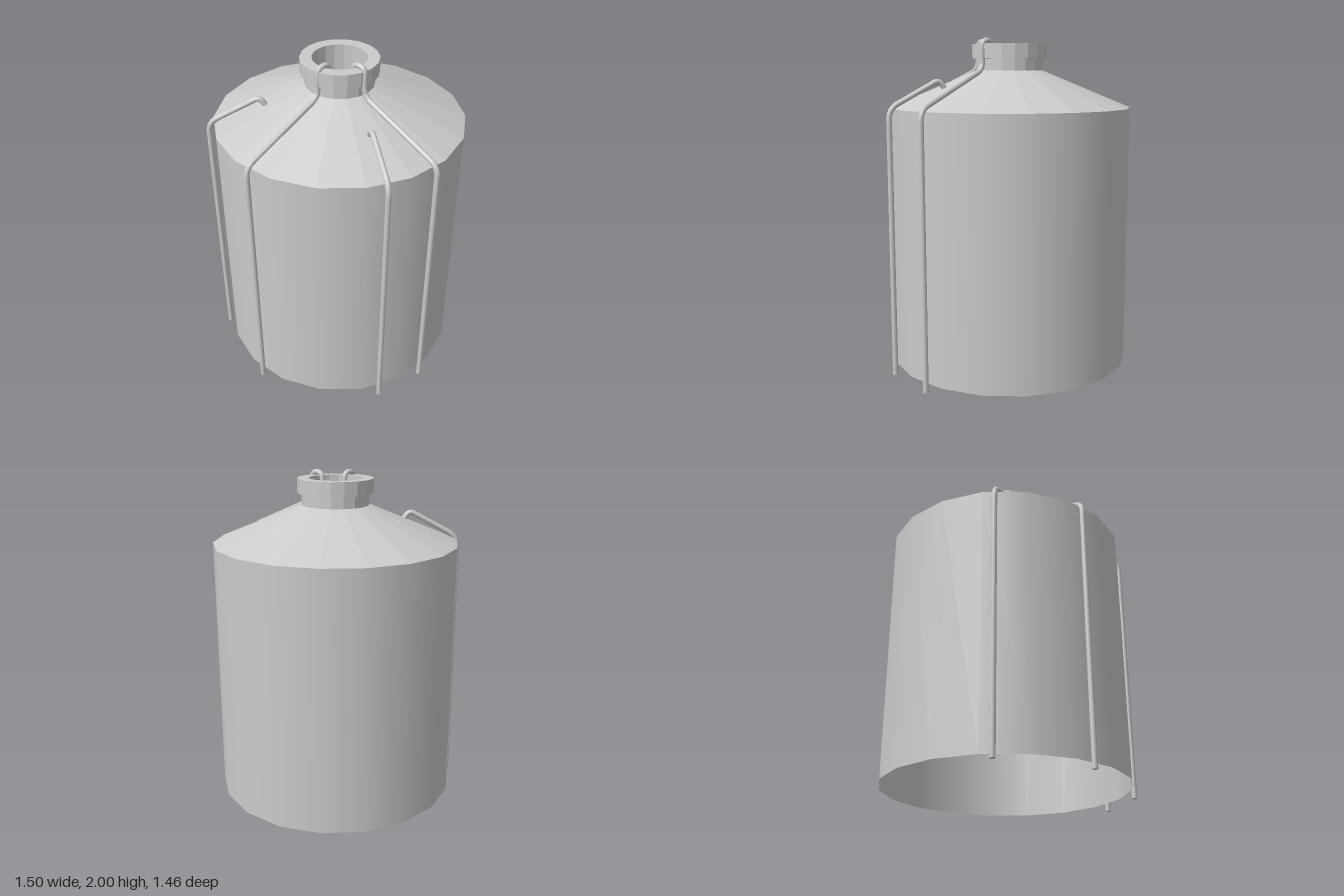
import * as THREE from 'three';

const SIDES = 18;
const PIPE_R = 0.016;

// Polyline with rounded corners; cuts[i] is the rounding length at corner i + 1
function roundedPath(points, cuts) {
  const path = new THREE.CurvePath();
  let from = points[0];
  for (let i = 1; i < points.length - 1; i++) {
    const p = points[i];
    const toward = (q) => p.clone().add(q.clone().sub(p).setLength(cuts[i - 1]));
    const a = toward(points[i - 1]);
    const b = toward(points[i + 1]);
    path.add(new THREE.LineCurve3(from, a));
    path.add(new THREE.QuadraticBezierCurve3(a, p, b));
    from = b;
  }
  path.add(new THREE.LineCurve3(from, points[points.length - 1]));
  return path;
}

export function createModel() {
  const model = new THREE.Group();
  const smooth = new THREE.MeshStandardMaterial({ color: 0xcccccc, side: THREE.DoubleSide });
  const flat = new THREE.MeshStandardMaterial({ color: 0xcccccc, side: THREE.DoubleSide, flatShading: true });

  // Tank body, off-centre because the pipes stand to one side
  const tank = new THREE.Group();
  tank.name = 'tank';
  tank.position.set(0.015, 0, -0.012);
  model.add(tank);

  const ring = (name, profile, material) => {
    const pts = profile.map(([r, y]) => new THREE.Vector2(r, y));
    const mesh = new THREE.Mesh(new THREE.LatheGeometry(pts, SIDES, Math.PI / 2), material);
    mesh.name = name;
    tank.add(mesh);
  };
  ring('tankWall', [[0.73, 0.04], [0.73, 1.59]], smooth);
  ring('conicalRoof', [[0.73, 1.59], [0.2, 1.81]], flat);
  ring('neckAndCollar', [
    [0.2, 1.805], [0.2, 1.88], [0.225, 1.88], [0.225, 1.965], [0.157, 1.965], [0.157, 1.805],
  ], flat);

  // Pipes: each runs in a vertical plane from its foot [x, z] to its inner tip [x, z];
  // profile rows are [fraction of the way inward, height]
  function addPipe(name, foot, tip, profile, cuts) {
    const points = profile.map(([t, y]) => new THREE.Vector3(
      THREE.MathUtils.lerp(foot[0], tip[0], t), y, THREE.MathUtils.lerp(foot[1], tip[1], t)));
    const path = roundedPath(points, cuts);
    const group = new THREE.Group();
    group.name = name;

    // One point list along the path keeps straight runs light and bends round
    const samples = [];
    path.curves.forEach((c, i) => {
      const n = c.isLineCurve3 ? 1 : 6;
      for (let k = i ? 1 : 0; k <= n; k++) samples.push(c.getPoint(k / n));
    });
    const run = new THREE.CurvePath();
    for (let i = 1; i < samples.length; i++) {
      if (samples[i].distanceTo(samples[i - 1]) > 1e-4) run.add(new THREE.LineCurve3(samples[i - 1], samples[i]));
    }
    const tube = new THREE.Mesh(new THREE.TubeGeometry(run, 240, PIPE_R, 10), smooth);
    tube.name = 'pipeTube';
    group.add(tube);

    // End caps
    for (const t of [0, 1]) {
      const cap = new THREE.Mesh(new THREE.CircleGeometry(PIPE_R, 10), smooth);
      cap.name = 'pipeEnd';
      const at = run.getPointAt(t);
      cap.position.copy(at);
      cap.lookAt(at.clone().addScaledVector(run.getTangentAt(t), t ? 1 : -1));
      group.add(cap);
    }
    model.add(group);
  }

  // Short pipes ending in a small hook above the roof
  const shortProfile = [[0, 0.01], [0, 1.595], [0.9, 1.757], [1, 1.705]];
  const shortCuts = [0.06, 0.035];
  addPipe('sideRoofPipe', [-0.735, 0.065], [-0.402, 0.065], shortProfile, shortCuts);
  addPipe('frontRoofPipe', [0.255, 0.712], [0.168, 0.39], shortProfile, shortCuts);

  // Long pipes climbing the roof and arching over the collar into the opening
  const longProfile = [[0, 0], [0, 1.6], [0.86, 1.815], [0.86, 1.984], [1, 1.984], [1, 1.87]];
  const longCuts = [0.06, 0.05, 0.042, 0.042];
  addPipe('rightFillPipe', [-0.48, 0.54], [-0.045, 0.106], longProfile, longCuts);
  addPipe('leftFillPipe', [0.522, 0.54], [0.087, 0.106], longProfile, longCuts);

  return model;
}
